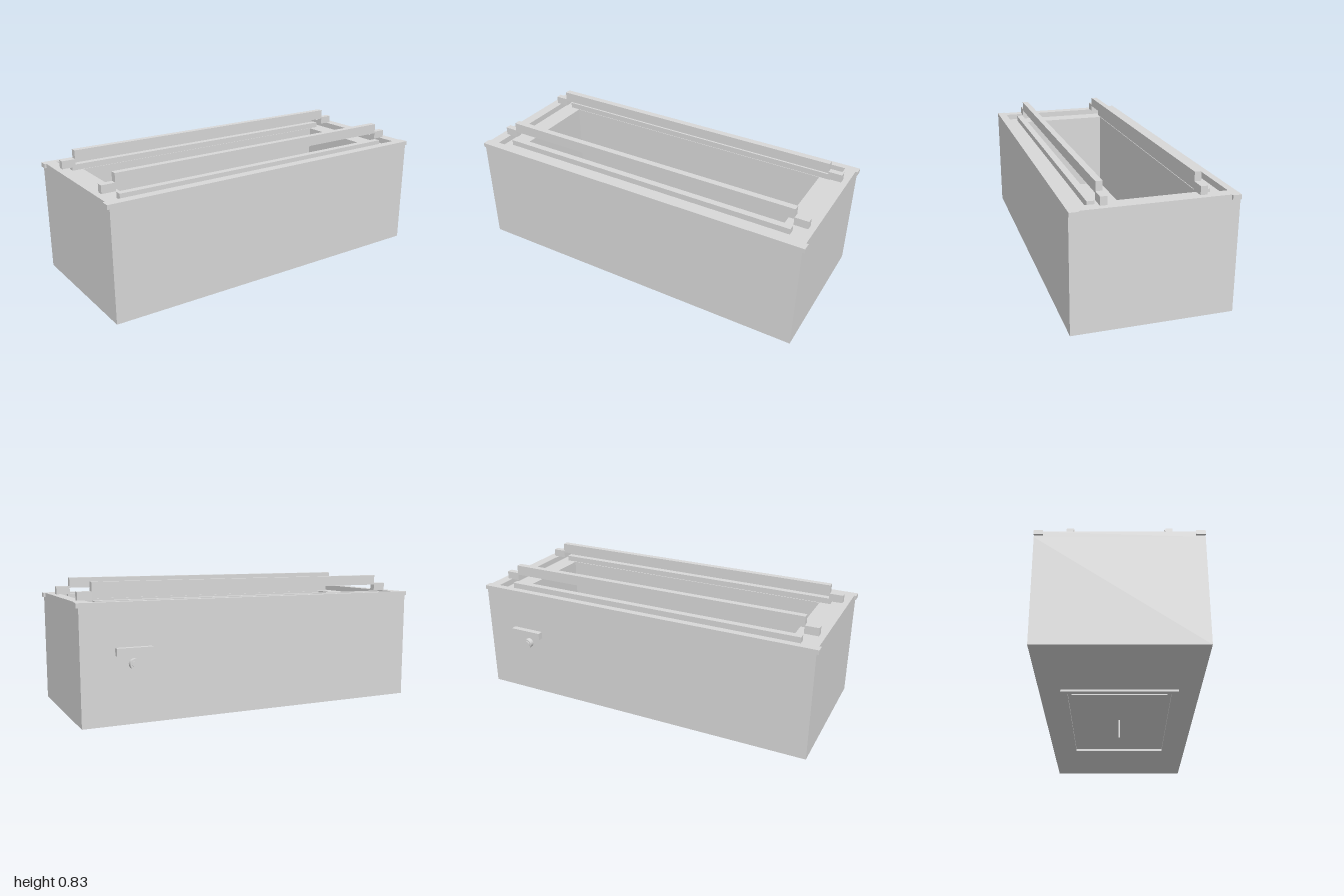
import * as THREE from 'three';

export function createModel() {
  const model = new THREE.Group();
  const grey = new THREE.MeshStandardMaterial({ color: 0xd8d8d8 });
  grey.name = 'plain grey';

  const add = (name, geometry) => {
    const mesh = new THREE.Mesh(geometry, grey);
    mesh.name = name;
    model.add(mesh);
    return mesh;
  };

  // Box given by its lower and upper bounds
  const block = (name, x0, x1, y0, y1, z0, z1) =>
    add(name, new THREE.BoxGeometry(x1 - x0, y1 - y0, z1 - z0))
      .position.set((x0 + x1) / 2, (y0 + y1) / 2, (z0 + z1) / 2);

  // Rectangular frame lying flat: half widths in x, bounds in z
  const frame = (name, y0, y1, [ox, oz0, oz1], [ix, iz0, iz1]) => {
    const rect = (Path, x, z0, z1) => {
      const p = new Path();
      p.moveTo(-x, -z1);
      p.lineTo(x, -z1);
      p.lineTo(x, -z0);
      p.lineTo(-x, -z0);
      p.closePath();
      return p;
    };
    const shape = rect(THREE.Shape, ox, oz0, oz1);
    shape.holes.push(rect(THREE.Path, ix, iz0, iz1));
    const geometry = new THREE.ExtrudeGeometry(shape, { depth: y1 - y0, bevelEnabled: false });
    geometry.rotateX(-Math.PI / 2);
    geometry.translate(0, y0, 0);
    add(name, geometry);
  };

  // Open tub: outer rim, stepped inner ledge and floor
  const outer = [0.988, -0.403, 0.435];
  const rim = [0.927, -0.365, 0.385];
  const opening = [0.82, -0.255, 0.278];
  frame('rim', 0.705, 0.738, outer, rim);
  frame('walls', 0.114, 0.705, outer, opening);
  block('floor', -0.82, 0.82, 0.114, 0.22, -0.255, 0.278);

  // Small lugs at the top corners
  for (const s of [-1, 1]) {
    const x0 = s > 0 ? 0.988 : -1;
    block('frontLug', x0, x0 + 0.012, 0.714, 0.738, 0.388, 0.435);
    block('backLug', x0, x0 + 0.012, 0.714, 0.738, -0.403, -0.358);
  }

  // Raised rails on end feet
  for (const z of [0.261, -0.229]) {
    block('topRail', -0.88, 0.88, 0.773, 0.83, z - 0.0175, z + 0.0175);
    for (const s of [-1, 1]) {
      const x = s * 0.917;
      block('railFoot', x - 0.038, x + 0.038, 0.738, 0.782, z - 0.0175, z + 0.0175);
    }
  }

  // Inner rails resting on the ledge
  for (const z of [0.302, -0.277]) {
    block('innerRail', -0.88, 0.88, 0.705, 0.737, z - 0.0185, z + 0.0185);
  }

  // Bottom hatch with its frame and grip plate
  frame('hatchFrame', 0.102, 0.114, [0.49, -0.29, 0.323], [0.455, -0.255, 0.288]);
  block('hatchPanel', -0.435, 0.435, 0.107, 0.114, -0.235, 0.268);
  block('gripPlate', -0.077, 0.077, 0, 0.112, 0.011, 0.021);

  // Back handle and knob
  block('backHandle', 0.62, 0.81, 0.47, 0.51, -0.435, -0.403);
  const disc = (name, radius, z0, z1) => {
    const mesh = add(name, new THREE.CylinderGeometry(radius, radius, z1 - z0, 32));
    mesh.rotation.x = Math.PI / 2;
    mesh.position.set(0.715, 0.425, (z0 + z1) / 2);
  };
  disc('knob', 0.027, -0.429, -0.403);
  disc('knobCap', 0.017, -0.434, -0.429);

  return model;
}
